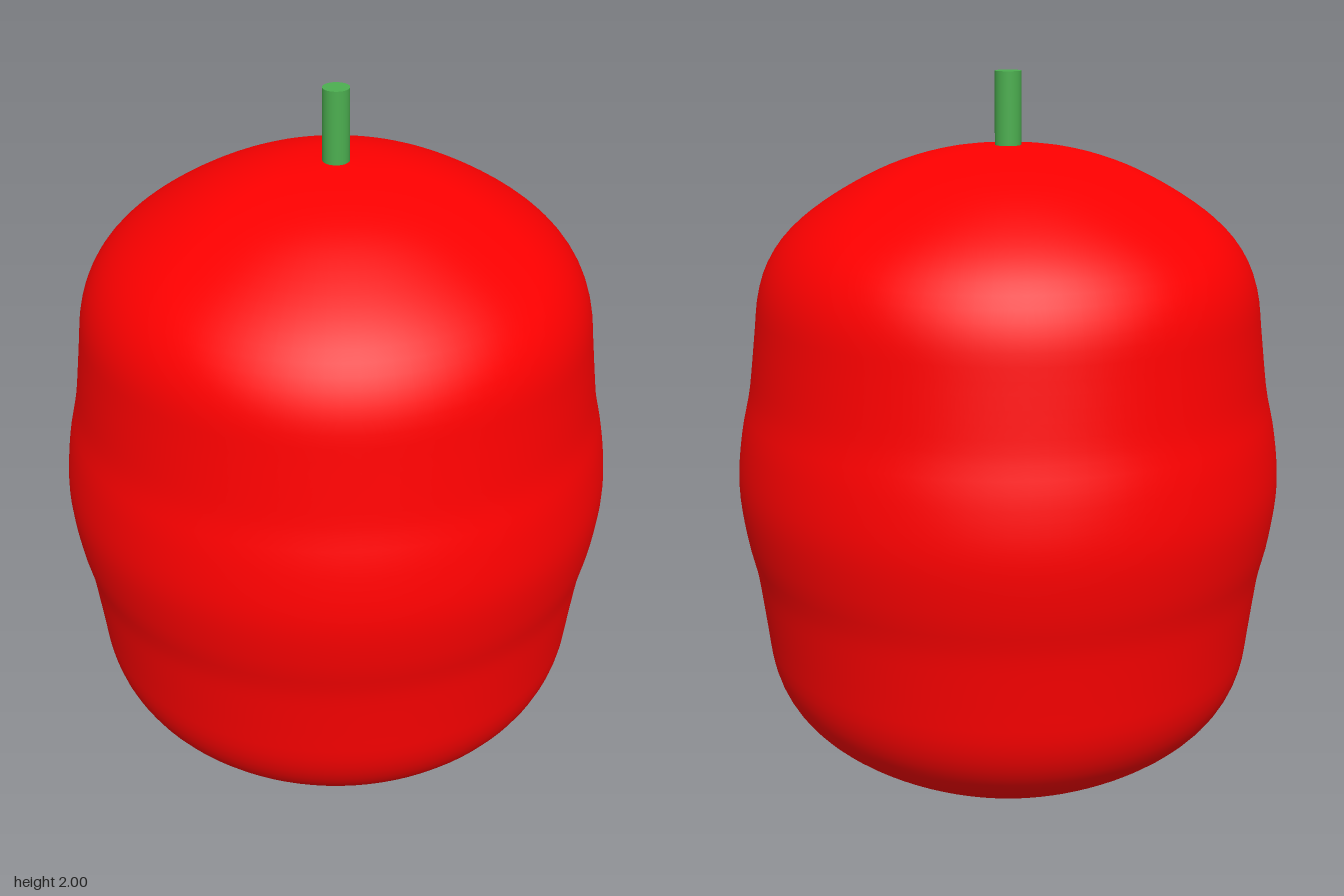
import * as THREE from 'three';

const MID = 0.907; // height of the widest ring

// Half profile as [radius, height above the middle]; the lower half mirrors it
const HALF = [
  [0.743, 0], [0.728, 0.145], [0.705, 0.25], [0.694, 0.33], [0.682, 0.43],
  [0.672, 0.51], [0.655, 0.57], [0.625, 0.628], [0.577, 0.685], [0.487, 0.755],
  [0.328, 0.841], [0.17, 0.889], [0, 0.904],
];

function bodyProfile() {
  const lower = HALF.slice(1).reverse().map(([r, h]) => [r, -h]);
  const curve = new THREE.CatmullRomCurve3(
    [...lower, ...HALF].map(([r, h]) => new THREE.Vector3(r, h, 0)));
  return curve.getSpacedPoints(80).map(p => new THREE.Vector2(Math.max(p.x, 0), p.y));
}

export function createModel() {
  const group = new THREE.Group();
  group.name = 'fruit';

  // Red body with a bulging middle and rounded shoulders
  const body = new THREE.Mesh(
    new THREE.LatheGeometry(bodyProfile(), 96),
    new THREE.MeshStandardMaterial({ color: 0xff0000 }));
  body.name = 'body';
  body.position.y = MID;
  group.add(body);

  // Short green stem, sunk slightly into the top
  const stem = new THREE.Mesh(
    new THREE.CylinderGeometry(0.035, 0.035, 0.24, 32),
    new THREE.MeshStandardMaterial({ color: 0x4caf50 }));
  stem.name = 'stem';
  stem.position.y = 1.88;
  group.add(stem);

  return group;
}
